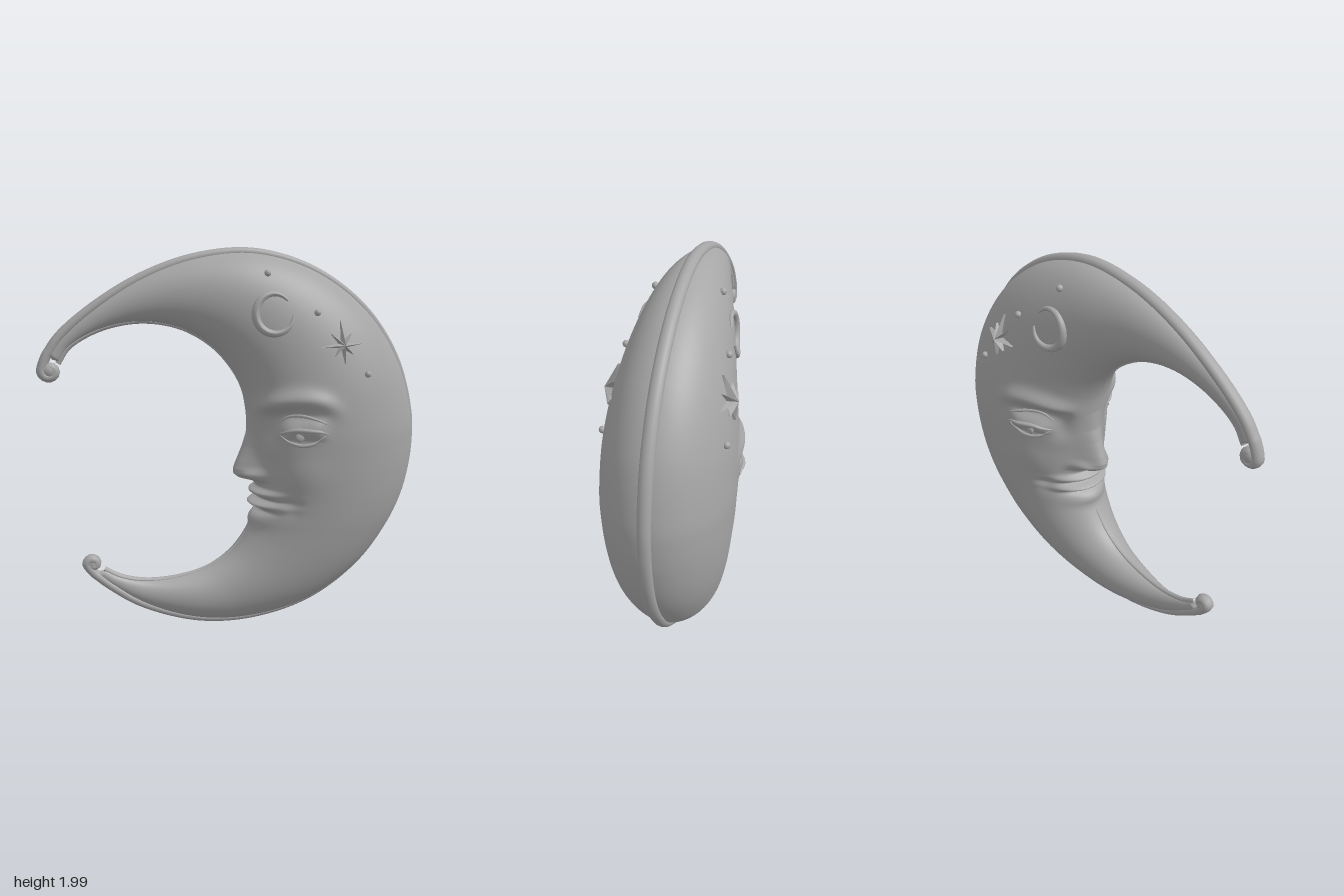
import * as THREE from 'three';

const V = (x, y, z = 0) => new THREE.Vector3(x, y, z);
const bell = (d, s, p = 2) => Math.exp(-Math.pow(Math.abs(d / s), p));

// Cross-sections from upper horn to lower horn: outer x, y, inner x, y
const SECTIONS = [
  [-.945, 1.475, -.89, 1.435], [-.88, 1.565, -.835, 1.515], [-.72, 1.70, -.68, 1.60], [-.47, 1.85, -.48, 1.635],
  [-.2, 1.945, -.28, 1.60], [.1, 1.97, -.12, 1.505], [.42, 1.88, -.02, 1.39], [.7, 1.68, .04, 1.27],
  [.88, 1.42, .065, 1.15], [.965, 1.14, .09, 1.0], [.975, 1.0, .11, .9], [.965, .86, .12, .8],
  [.93, .7, .12, .7], [.86, .54, .105, .61], [.69, .31, .06, .51], [.42, .12, -.03, .4],
  [.1, .035, -.16, .32], [-.2, .045, -.32, .28], [-.5, .15, -.48, .275], [-.67, .265, -.61, .305], [-.75, .335, -.70, .355],
];
const outer = new THREE.CatmullRomCurve3(SECTIONS.map(s => V(s[0], s[1])));
const inner = new THREE.CatmullRomCurve3(SECTIONS.map(s => V(s[2], s[3])));
const LAST = SECTIONS.length - 1;

// Nose profile: height, how far it projects
const NOSE = [[.765, 0], [.795, .03], [.812, .1], [.832, .125], [.86, .125], [.9, .105], [.98, .055], [1.05, .02], [1.16, 0]];
function noseOut(y) {
  for (let i = 1; i < NOSE.length; i++) {
    const [y0, d0] = NOSE[i - 1], [y1, d1] = NOSE[i];
    if (y >= y0 && y <= y1) return THREE.MathUtils.lerp(d0, d1, (y - y0) / (y1 - y0));
  }
  return 0;
}

// Features on the face's centre line, pushed towards -x
function frontRelief(y, z) {
  const noseWidth = THREE.MathUtils.clamp(.085 - (y - .84) * .14, .05, .085);
  const mouth = bell(z, .19, 4);
  return noseOut(y) * bell(z, noseWidth, 2.4)
    + mouth * (.042 * bell(y - .735, .02) + .046 * bell(y - .672, .018) - .012 * bell(y - .702, .009))
    - .02 * bell(y - .638, .016) * bell(z, .15, 4)
    + .022 * bell(y - .59, .035) * bell(z, .13)
    + .03 * bell(y - .835, .026) * bell(Math.abs(z) - .085, .03);
}

// Features on the cheeks and forehead, pushed along the surface normal
function sideRelief(x, y) {
  const brow = .03 * bell(y - 1.255 + 1.4 * (x - .28) ** 2, .045) * bell(x - .27, .18, 4);
  const socket = -.032 * bell(x - .23, .11) * bell(y - 1.15, .05) - .022 * bell(x - .13, .05) * bell(y - 1.08, .07);
  const lid = .03 * bell(x - .295, .1, 4) * bell(y - 1.1, .055, 4);
  const slit = -.014 * bell(x - .295, .085, 4) * bell(y - 1.06, .024, 4);
  const cheek = .014 * bell(x - .3, .12) * bell(y - .86, .11) - .014 * bell(x - .25, .04) * bell(y - .7, .05);
  return brow + socket + lid + slit + cheek;
}

function crescentBody() {
  // More rows where the face is
  const rows = [];
  for (const [a, b, n] of [[0, 7, 60], [7, 14, 150], [14, LAST, 45]])
    for (let i = 0; i < n; i++) rows.push((a + (b - a) * i / n) / LAST);
  rows.push(1);
  const half = 95, around = half * 2, pos = [], idx = [];
  rows.forEach((t, i) => {
    const O = outer.getPoint(t), I = inner.getPoint(t);
    const w = O.distanceTo(I), H = .35 * w + .003, dir = O.clone().sub(I).normalize();
    const closed = i === 0 || i === rows.length - 1 ? 0 : 1;
    for (let j = 0; j < around; j++) {
      const side = j <= half ? 1 : -1;
      const u = (side > 0 ? j : around - j) / half;
      const a = Math.PI * Math.pow(u, 1.25);
      const s = .5 - .5 * Math.cos(a) * closed;
      const h = H * Math.sin(a) * closed;
      const p = I.clone().lerp(O, s);
      const n = V(-Math.cos(a) * H, Math.sin(a) * w / 2).normalize();
      const r = sideRelief(p.x, p.y) * THREE.MathUtils.smoothstep(h, .06, .18);
      const push = u < .7 ? frontRelief(p.y, h) * THREE.MathUtils.smoothstep(.45 - p.x, 0, .2) * (p.x > .03 ? 1 : 0) : 0;
      pos.push(p.x + dir.x * n.x * r - push, p.y + dir.y * n.x * r, side * (h + n.y * r));
      if (i < rows.length - 1) {
        const A = i * around + j, B = i * around + (j + 1) % around;
        idx.push(A, A + around, B, B, A + around, B + around);
      }
    }
  });
  const g = new THREE.BufferGeometry();
  g.setAttribute('position', new THREE.Float32BufferAttribute(pos, 3));
  g.setIndex(idx);
  g.computeVertexNormals();
  return g;
}

// Tube whose radius follows taper(u)
function taperedTube(points, n, radius, taper, sides = 10) {
  const curve = new THREE.CatmullRomCurve3(points);
  const g = new THREE.TubeGeometry(curve, n, radius, sides);
  const p = g.attributes.position, v = V(0, 0);
  for (let i = 0; i <= n; i++) {
    const c = curve.getPointAt(i / n), k = taper(i / n);
    for (let j = 0; j <= sides; j++) {
      const q = i * (sides + 1) + j;
      v.fromBufferAttribute(p, q).sub(c).multiplyScalar(k).add(c);
      p.setXYZ(q, v.x, v.y, v.z);
    }
  }
  g.computeVertexNormals();
  return g;
}

export function createModel() {
  const group = new THREE.Group();
  const stone = new THREE.MeshStandardMaterial({ color: 0xa6a6a6 });
  const add = (name, geometry) => {
    const m = new THREE.Mesh(geometry, stone);
    m.name = name;
    group.add(m);
    return m;
  };
  const body = add('crescentBody', crescentBody());
  body.updateMatrixWorld();

  // Point on the body's surface, lifted off it by lift
  const ray = new THREE.Raycaster();
  const onBody = (x, y, side, lift = 0) => {
    ray.set(V(x, y, side), V(0, 0, -side));
    const hit = ray.intersectObject(body)[0];
    return V(x, y, (hit ? hit.point.z : 0) + side * lift);
  };

  // Outer rim, curling into a scroll at each horn
  const curl = (cx, cy, r, turn) => Array.from({ length: 18 }, (_, i) => {
    const a = Math.PI + turn * (1 - i / 17) * 6.6, k = r * (.2 + .8 * i / 17);
    return V(cx + Math.cos(a) * k, cy + Math.sin(a) * k);
  });
  const edge = Array.from({ length: 81 }, (_, i) => outer.getPoint(i / 80));
  const rim = new THREE.CatmullRomCurve3([...curl(-.932, 1.4, .04, 1), ...edge, ...curl(-.757, .39, .031, -1).reverse()]);
  add('outerRim', new THREE.TubeGeometry(rim, 420, .025, 12)).scale.z = 1.28;
  for (const [x, y, r] of [[-.932, 1.4, .042], [-.757, .39, .036]]) {
    const boss = add('scrollBoss', new THREE.SphereGeometry(r, 20, 14));
    boss.position.set(x, y, 0);
    boss.scale.z = .85;
  }

  // Thin bead on the inner edge of each horn, fading towards the face
  const bead = (a, b) => Array.from({ length: 30 }, (_, i) => inner.getPoint((a + (b - a) * i / 29) / LAST));
  for (const [a, b] of [[0, 6.5], [LAST, 14]])
    add('innerBead', taperedTube(bead(a, b), 80, .014, u => 1 - .8 * u * u));

  for (const side of [1, -1]) {
    // Line laid over the body
    const drape = (name, pts, r, lift, taper, n = 22) => {
      const c = new THREE.CatmullRomCurve3(pts.map(([x, y]) => V(x, y)));
      const laid = c.getPoints(n).map(p => onBody(p.x, p.y, side, lift));
      add(name, taperedTube(laid, 48, r, taper));
    };
    const thin = u => .25 + .75 * Math.sin(Math.PI * u);

    // Eye
    drape('upperLid', [[.185, 1.075], [.24, 1.098], [.31, 1.1], [.37, 1.095], [.41, 1.08]], .012, .002, thin);
    drape('lidCrease', [[.185, 1.125], [.225, 1.16], [.28, 1.17], [.35, 1.155], [.41, 1.13]], .009, -.001, thin);
    drape('lowerLid', [[.19, 1.065], [.23, 1.035], [.29, 1.02], [.35, 1.035], [.4, 1.08]], .01, .001, thin);
    const iris = add('iris', new THREE.SphereGeometry(.025, 18, 12));
    iris.position.copy(onBody(.275, 1.066, side));
    iris.scale.z = .45;

    // Raised crescent on the forehead
    const arc = Array.from({ length: 13 }, (_, i) => {
      const a = THREE.MathUtils.degToRad(42 + 312 * i / 12);
      return [.15 + .092 * Math.cos(a), 1.675 + .096 * Math.sin(a)];
    });
    drape('smallCrescent', arc, .021, .004, u => .3 + .7 * Math.sin(Math.PI * u), 36);

    // Eight-pointed star with ridged rays
    const cx = .49, cy = 1.52, tips = [.115, .075, .12, .085, .115, .07, .09, .07];
    const ring = [];
    for (let i = 0; i < 16; i++) {
      const a = Math.PI * i / 8 + .06, r = i % 2 ? .028 : tips[i / 2];
      ring.push(onBody(cx + Math.cos(a) * r, cy + Math.sin(a) * r, side, i % 2 ? -.003 : .012));
    }
    const peak = onBody(cx, cy, side, .042), tri = [];
    const face = (a, b, c) => (side > 0 ? [a, b, c] : [a, c, b]).forEach(p => tri.push(p.x, p.y, p.z));
    const sunk = ring.map(p => V(p.x, p.y, p.z - side * .03));
    ring.forEach((p, i) => {
      const k = (i + 1) % 16;
      face(peak, p, ring[k]);
      face(p, sunk[i], ring[k]);
      face(ring[k], sunk[i], sunk[k]);
    });
    const star = new THREE.BufferGeometry();
    star.setAttribute('position', new THREE.Float32BufferAttribute(tri, 3));
    star.computeVertexNormals();
    add('star', star);

    // Small studs around the star and crescent
    for (const [x, y] of [[.13, 1.87], [.365, 1.68], [.62, 1.375]])
      add('stud', new THREE.SphereGeometry(.017, 14, 10)).position.copy(onBody(x, y, side, .006));
  }
  return group;
}
